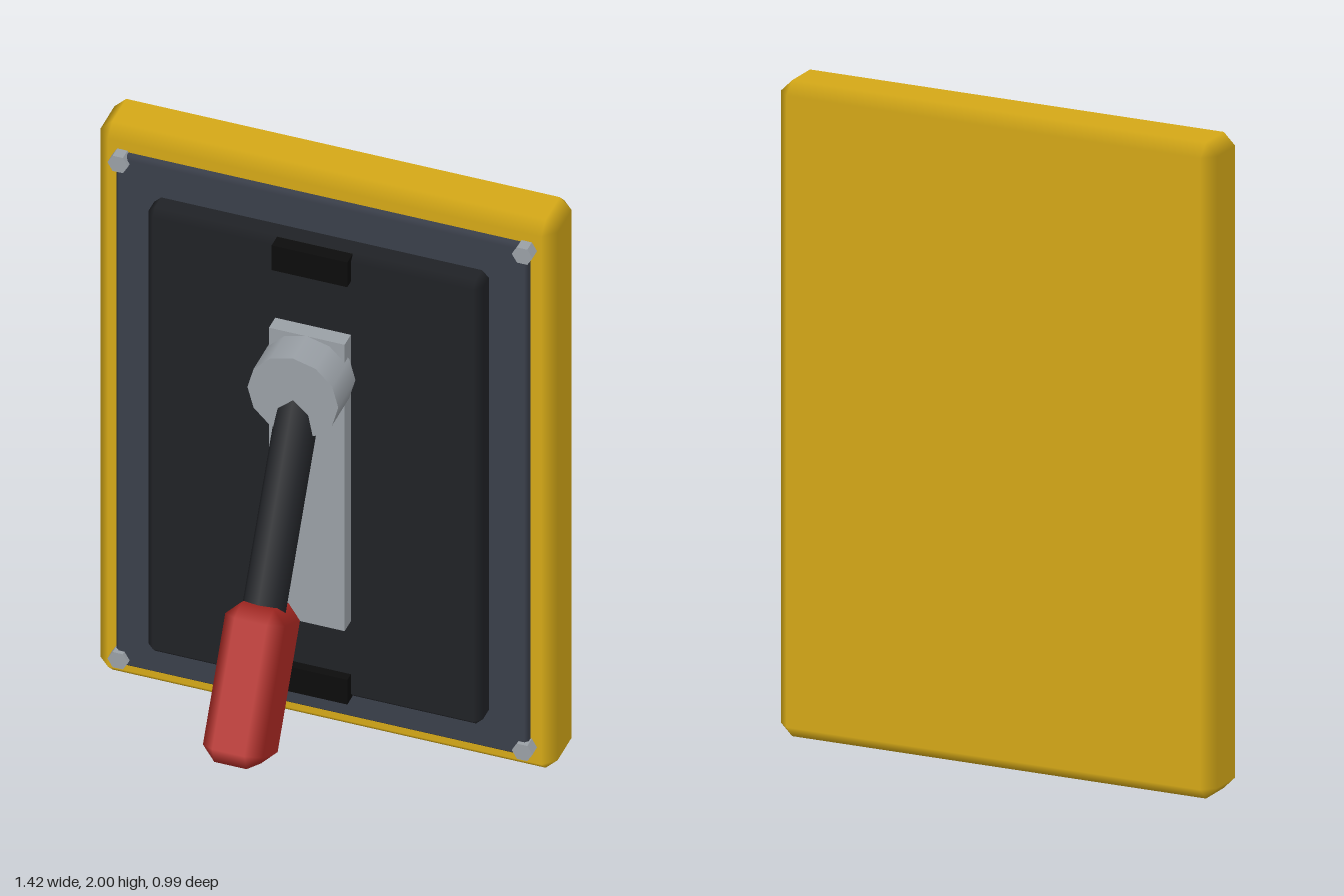
import * as THREE from 'three';
import { ConvexGeometry } from 'three/addons/geometries/ConvexGeometry.js';

const paint = (color) => new THREE.MeshStandardMaterial({ color });
const yellow = paint(0xd4a817), slate = paint(0x3a3f4a), dark = paint(0x202226);
const black = paint(0x0c0c0c), grey = paint(0x9aa0a6), red = paint(0xb02a24);

// Box with one chamfer per edge; each corner keeps the normal of its main face,
// so faces stay flat and the chamfers shade softly.
function chamferBox(w, h, d, b) {
  const half = [w / 2, h / 2, d / 2];
  const points = [];
  for (let axis = 0; axis < 3; axis++)
    for (const sx of [-1, 1]) for (const sy of [-1, 1]) for (const sz of [-1, 1]) {
      const p = [sx, sy, sz].map((s, i) => s * (half[i] - (i === axis ? 0 : b)));
      points.push(new THREE.Vector3(...p));
    }
  const geo = new ConvexGeometry(points);
  const pos = geo.attributes.position, nor = geo.attributes.normal;
  for (let i = 0; i < pos.count; i++) {
    const p = [pos.getX(i), pos.getY(i), pos.getZ(i)];
    const n = p.map((v, k) => (Math.abs(Math.abs(v) - half[k]) < 1e-5 ? Math.sign(v) : 0));
    nor.setXYZ(i, ...n);
  }
  return geo;
}

function add(parent, name, geometry, material, x, y, z) {
  const mesh = new THREE.Mesh(geometry, material);
  mesh.name = name;
  mesh.position.set(x, y, z);
  parent.add(mesh);
  return mesh;
}

export function createModel() {
  const model = new THREE.Group();
  model.name = 'leverSwitch';

  // Wall plate and stacked panels
  add(model, 'backPlate', chamferBox(1.42, 2, 0.19, 0.037), yellow, 0, 1, -0.395);
  add(model, 'facePlate', chamferBox(1.28, 1.86, 0.045, 0.01), slate, 0, 1, -0.298);
  add(model, 'innerPanel', chamferBox(1.04, 1.62, 0.1, 0.022), dark, 0, 1.003, -0.255);

  // Stops at the ends of the lever's travel
  for (const y of [0.242, 1.765])
    add(model, 'stop', new THREE.BoxGeometry(0.235, 0.09, 0.045), black, 0, y, -0.198);

  // Corner bolts
  const bolt = new THREE.CylinderGeometry(0.032, 0.032, 0.05, 6).toNonIndexed();
  bolt.computeVertexNormals();
  bolt.rotateY(Math.PI / 2).rotateX(Math.PI / 2);
  for (const x of [-0.628, 0.628])
    for (const y of [0.097, 1.908]) add(model, 'bolt', bolt, grey, x, y, -0.287);

  // Guide strip and round hub
  add(model, 'guideStrip', new THREE.BoxGeometry(0.235, 1.045, 0.055), grey, 0, 1.003, -0.181);
  const hub = new THREE.CylinderGeometry(0.141, 0.141, 0.142, 12).rotateX(Math.PI / 2);
  add(model, 'hub', hub, grey, 0, 1.385, -0.109);

  // Lever, hanging down and tilted forward from the hub
  const lever = new THREE.Group();
  lever.name = 'lever';
  lever.position.set(0, 1.385, -0.12);
  lever.rotation.x = -0.489;
  model.add(lever);
  add(lever, 'leverShaft', new THREE.CylinderGeometry(0.067, 0.067, 0.78, 8), dark, 0, -0.39, 0);
  add(lever, 'grip', chamferBox(0.186, 0.48, 0.225, 0.043), red, 0, -0.904, 0);

  return model;
}
